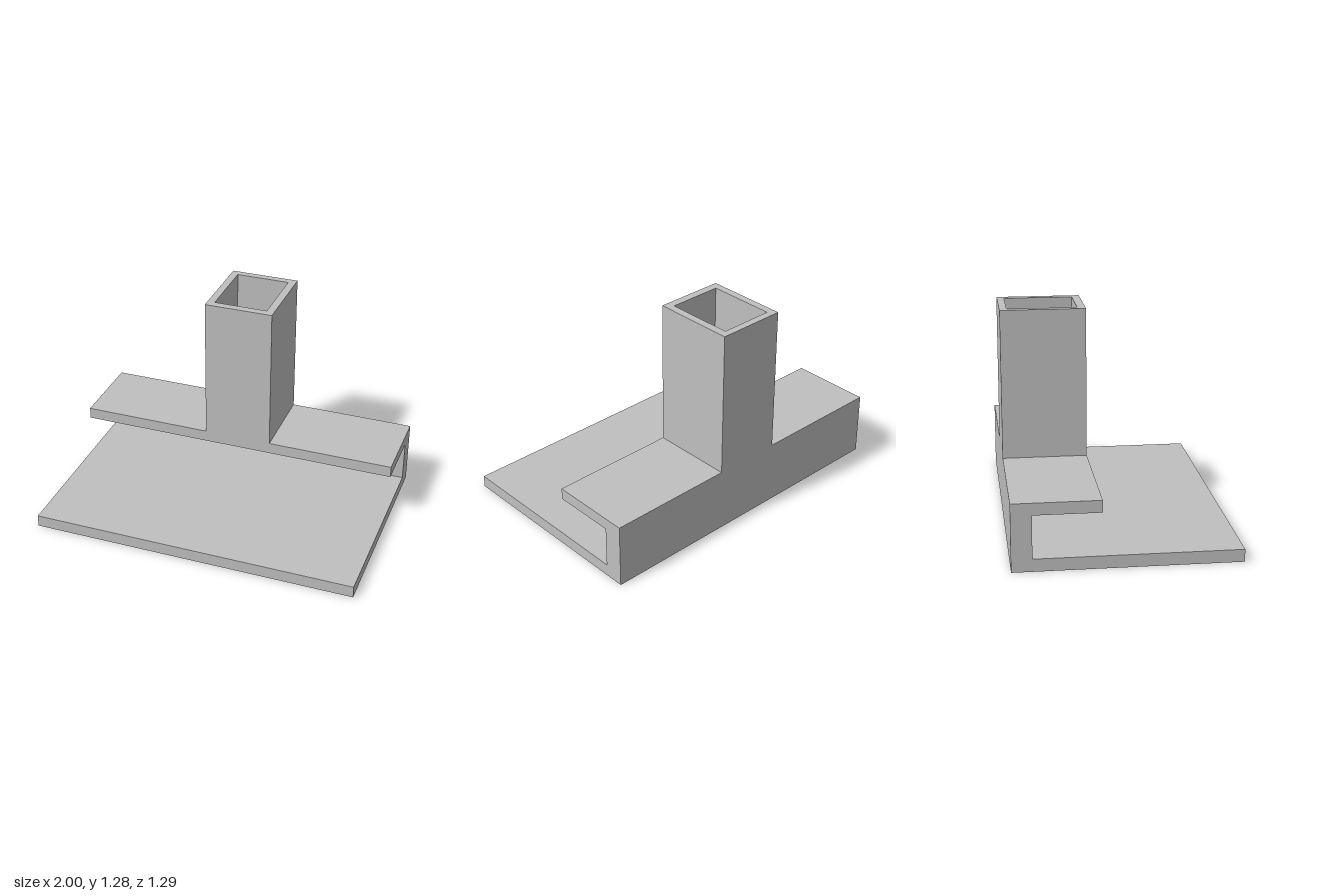
import * as THREE from 'three';

const BACK = -0.645, FRONT = 0.645, LIP = -0.145, SHELF_TOP = 0.393, TOP = 1.283;

const outline = (points, Type = THREE.Shape) =>
  new Type(points.map(([x, y]) => new THREE.Vector2(x, y)));

const rectangle = (x0, x1, y0, y1, Type) =>
  outline([[x0, y0], [x1, y0], [x1, y1], [x0, y1]], Type);

export function createModel() {
  const model = new THREE.Group();
  model.name = 'channelBracket';
  const grey = new THREE.MeshStandardMaterial({ color: 0xbfbfbf });
  grey.name = 'plain grey';

  const add = (name, geometry) => {
    const mesh = new THREE.Mesh(geometry, grey);
    mesh.name = name;
    model.add(mesh);
  };

  // Channel: long base plate, back wall and short upper shelf, as a (z, y) profile run along x
  const profile = outline([
    [BACK, 0], [FRONT, 0], [FRONT, 0.073], [-0.528, 0.073],
    [-0.528, 0.323], [LIP, 0.323], [LIP, SHELF_TOP], [BACK, SHELF_TOP],
  ]);
  const channel = new THREE.ExtrudeGeometry(profile, { depth: 2, bevelEnabled: false });
  channel.rotateY(-Math.PI / 2).translate(1, 0, 0);
  add('channel', channel);

  // Square tube standing on the shelf, drawn as (x, -z) and open at the top
  const wall = rectangle(-0.195, 0.225, -LIP, -BACK);
  wall.holes.push(rectangle(-0.15, 0.178, 0.193, 0.602, THREE.Path));
  const tube = new THREE.ExtrudeGeometry(wall, { depth: TOP - SHELF_TOP, bevelEnabled: false });
  tube.rotateX(-Math.PI / 2).translate(0, SHELF_TOP, 0);
  add('tube', tube);

  return model;
}
